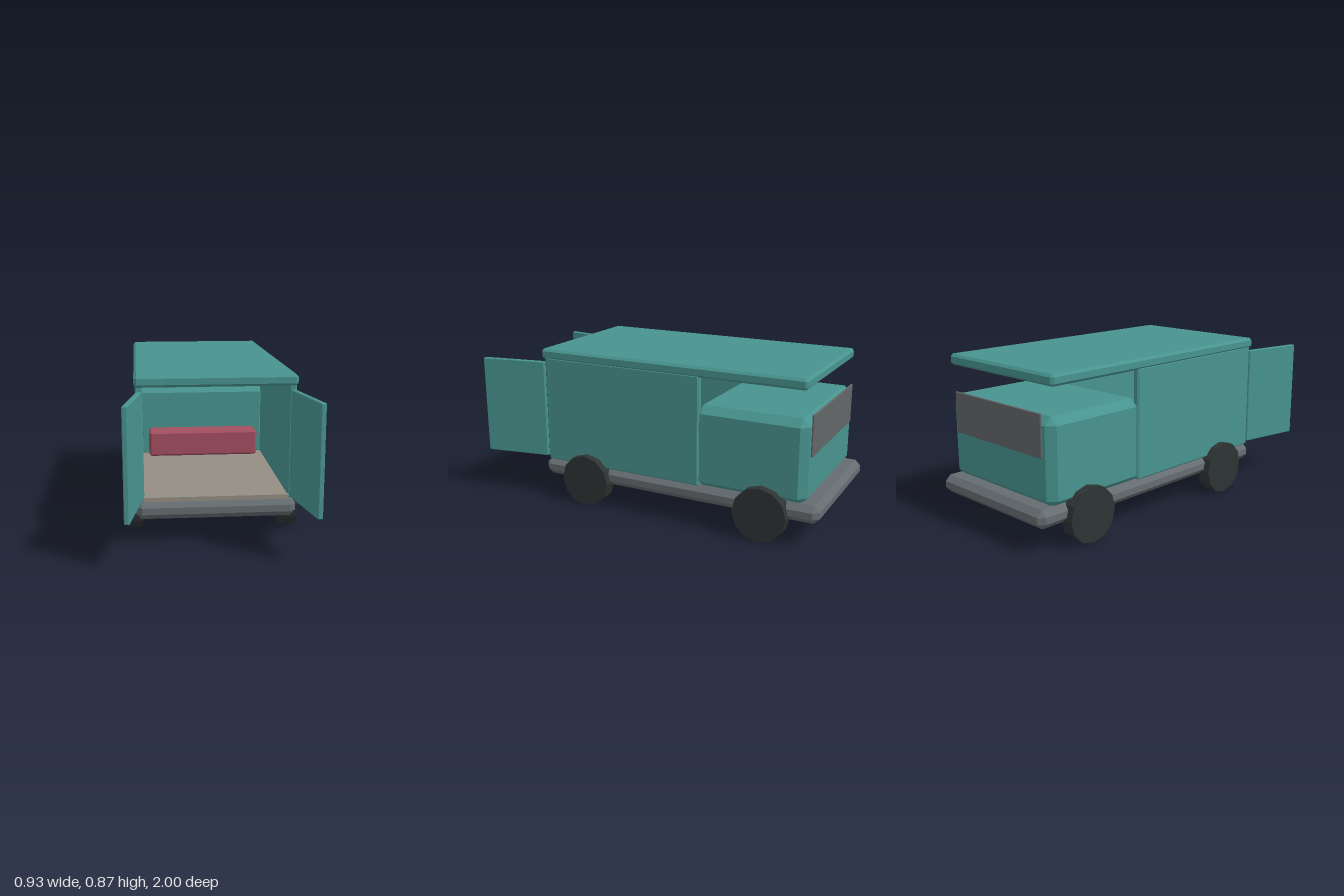
import * as THREE from 'three';
import { ConvexGeometry } from 'three/addons/geometries/ConvexGeometry.js';

const mat = (name, color) => {
  const m = new THREE.MeshStandardMaterial({ color });
  m.name = name;
  return m;
};

// Box between two corners with all twelve edges chamfered by c
function chamferBox(min, max, c) {
  const mid = min.map((v, i) => (v + max[i]) / 2);
  const half = min.map((v, i) => (max[i] - v) / 2);
  const points = [];
  for (const sx of [-1, 1]) for (const sy of [-1, 1]) for (const sz of [-1, 1]) {
    const s = [sx, sy, sz];
    for (let full = 0; full < 3; full++) {
      points.push(new THREE.Vector3(...s.map((d, i) => mid[i] + d * (half[i] - (i === full ? 0 : c)))));
    }
  }
  return new ConvexGeometry(points);
}

export function createModel() {
  const van = new THREE.Group();
  van.name = 'deliveryVan';

  const teal = mat('tealPaint', 0x48948f);
  const grey = mat('chassisGrey', 0x656c70);
  const glass = mat('windscreenGrey', 0x626667);
  const tan = mat('floorTan', 0x938d82);
  const red = mat('seatRed', 0xa34f60);
  const rubber = mat('tyreBlack', 0x2d3433);

  const add = (name, geometry, material) => {
    const mesh = new THREE.Mesh(geometry, material);
    mesh.name = name;
    van.add(mesh);
    return mesh;
  };
  const block = (name, min, max, c, material) => add(name, chamferBox(min, max, c), material);

  // Chassis, cargo floor, cab and roof
  block('chassis', [-0.41, 0.13, -1], [0.41, 0.225, 0.635], 0.03, grey);
  block('cargoFloor', [-0.375, 0.215, -0.34], [0.375, 0.247, 0.61], 0.004, tan);
  block('cab', [-0.4, 0.21, -0.925], [0.4, 0.66, -0.31], 0.04, teal);
  block('roof', [-0.41, 0.81, -0.915], [0.41, 0.868, 0.628], 0.013, teal);

  // Windscreen plate and bench inside
  block('windscreen', [-0.343, 0.46, -0.935], [0.343, 0.679, -0.924], 0.003, glass);
  block('benchSeat', [-0.325, 0.255, -0.32], [0.325, 0.405, -0.18], 0.012, red);

  for (const [side, s] of [['left', 1], ['right', -1]]) {
    // Side wall
    const [a, b] = [s * 0.366, s * 0.405].sort((p, q) => p - q);
    block(side + 'Wall', [a, 0.225, -0.342], [b, 0.82, 0.608], 0.008, teal);

    // Open door, swung slightly outward
    const door = block(side + 'Door', [-0.0135, 0.237, -0.19], [0.0135, 0.791, 0.19], 0.004, teal);
    door.position.set(s * 0.4185, 0, 0.81);
    door.rotation.y = s * THREE.MathUtils.degToRad(10);

    // Wheels
    for (const [end, z] of [['Front', 0.34], ['Rear', -0.7]]) {
      const tyre = new THREE.CylinderGeometry(0.146, 0.146, 0.075, 12).toNonIndexed();
      tyre.rotateZ(Math.PI / 2);
      tyre.computeVertexNormals();
      add(side + end + 'Wheel', tyre, rubber).position.set(s * 0.41, 0.146, z);
    }
  }
  return van;
}
